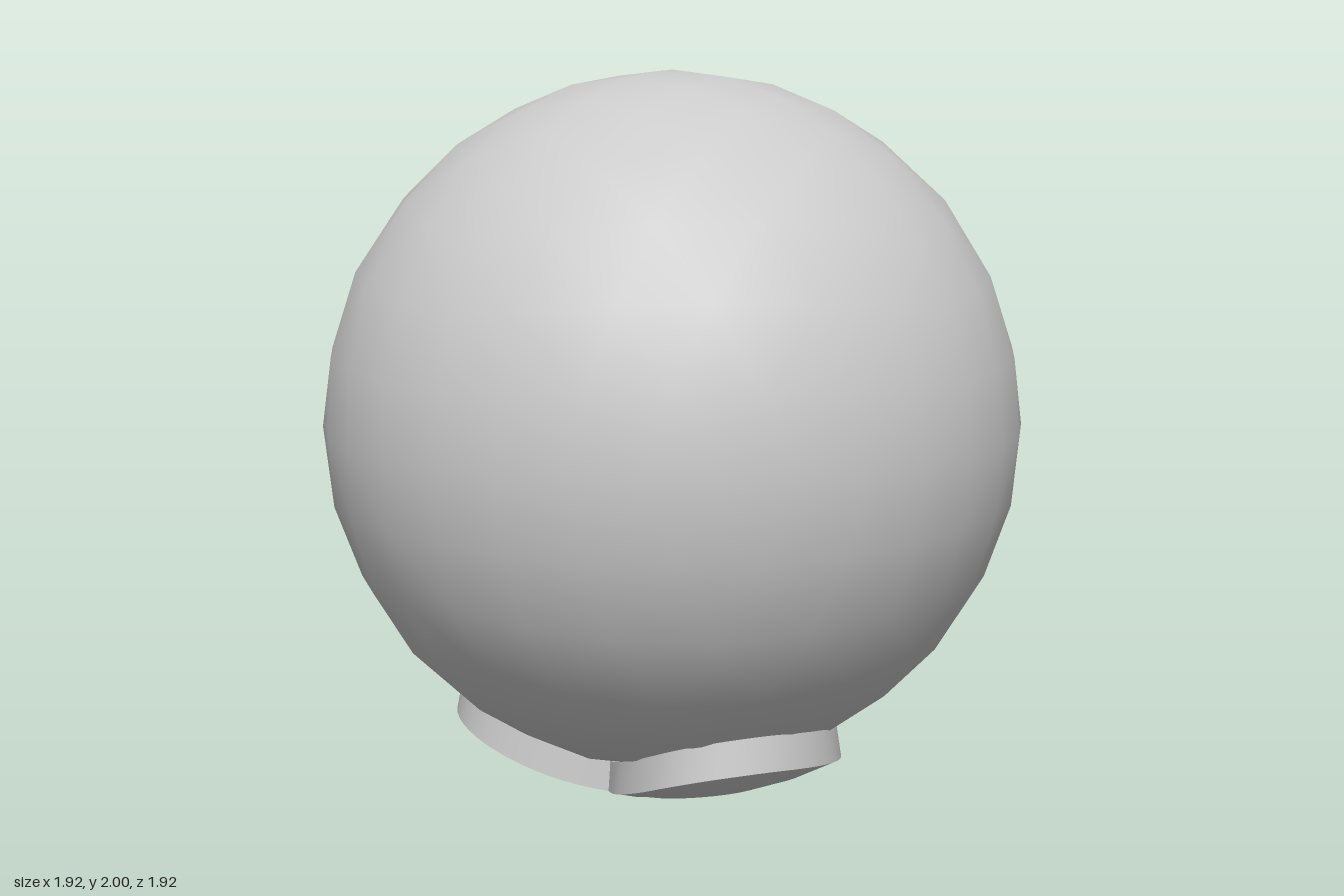
import * as THREE from 'three';

const CENTRE = 1.04, BALL_R = 0.96, PAD_R = 1.04;
const grey = new THREE.MeshStandardMaterial({ color: 0xcccccc });

// Normals pointing away from the ball's centre (geometry centred on the origin)
function radialNormals(geo) {
  const normals = geo.attributes.position.clone(), v = new THREE.Vector3();
  for (let i = 0; i < normals.count; i++) {
    v.fromBufferAttribute(normals, i).normalize();
    normals.setXYZ(i, v.x, v.y, v.z);
  }
  geo.setAttribute('normal', normals);
  return geo;
}

// Octahedral sphere with evenly spaced great circles
function ballGeometry() {
  const geo = new THREE.OctahedronGeometry(1, 7);
  const pos = geo.attributes.position, v = new THREE.Vector3();
  const even = (t) => Math.sin(t * Math.PI / 2);
  for (let i = 0; i < pos.count; i++) {
    v.fromBufferAttribute(pos, i);
    v.divideScalar(Math.abs(v.x) + Math.abs(v.y) + Math.abs(v.z));
    v.set(even(v.x), even(v.y), even(v.z)).setLength(BALL_R);
    pos.setXYZ(i, v.x, v.y, v.z);
  }
  return radialNormals(geo);
}

// Surface through rows of points, each row running counter-clockwise from above
function gridGeometry(rows) {
  const n = rows[0].length, index = [];
  for (let r = 0; r < rows.length - 1; r++) {
    for (let i = 0; i < n - 1; i++) {
      const a = r * n + i, b = a + n;
      index.push(a, a + 1, b + 1, a, b + 1, b);
    }
  }
  const geo = new THREE.BufferGeometry().setFromPoints(rows.flat());
  geo.setIndex(index);
  geo.computeVertexNormals();
  return geo;
}

// Drops a scaled flat outline onto the underside of a sphere
function project(outline, scale, radius) {
  return outline.map((p) => {
    const x = p.x * scale, z = p.z * scale;
    return new THREE.Vector3(x, -Math.sqrt(radius * radius - x * x - z * z), z);
  });
}

export function createModel() {
  const model = new THREE.Group();
  const add = (name, geo) => {
    const mesh = new THREE.Mesh(geo, grey);
    mesh.name = name;
    mesh.position.y = CENTRE;
    model.add(mesh);
  };

  add('ball', ballGeometry());

  // Half of the heart outline (x, z), from the front notch to the back tip
  const half = [
    [0, 0.285], [0.1, 0.37], [0.22, 0.425], [0.34, 0.44], [0.45, 0.4], [0.54, 0.3], [0.575, 0.17],
    [0.56, 0.02], [0.49, -0.13], [0.35, -0.285], [0.18, -0.41], [0, -0.505],
  ].map(([x, z]) => new THREE.Vector3(x, 0, z));
  const left = new THREE.CatmullRomCurve3(half).getPoints(36);
  const right = left.map((p) => new THREE.Vector3(-p.x, 0, p.z)).reverse();

  // Curved heart-shaped base and its rim, one half at a time
  for (const [side, outline] of [['left', left], ['right', right]]) {
    const rings = [0, 0.2, 0.4, 0.6, 0.8, 1].map((s) => project(outline, s, PAD_R));
    add(side + 'BaseSole', radialNormals(gridGeometry(rings)));
    add(side + 'BaseRim', gridGeometry([project(outline, 1, PAD_R), project(outline, 0.97, BALL_R - 0.005)]));
  }
  return model;
}
